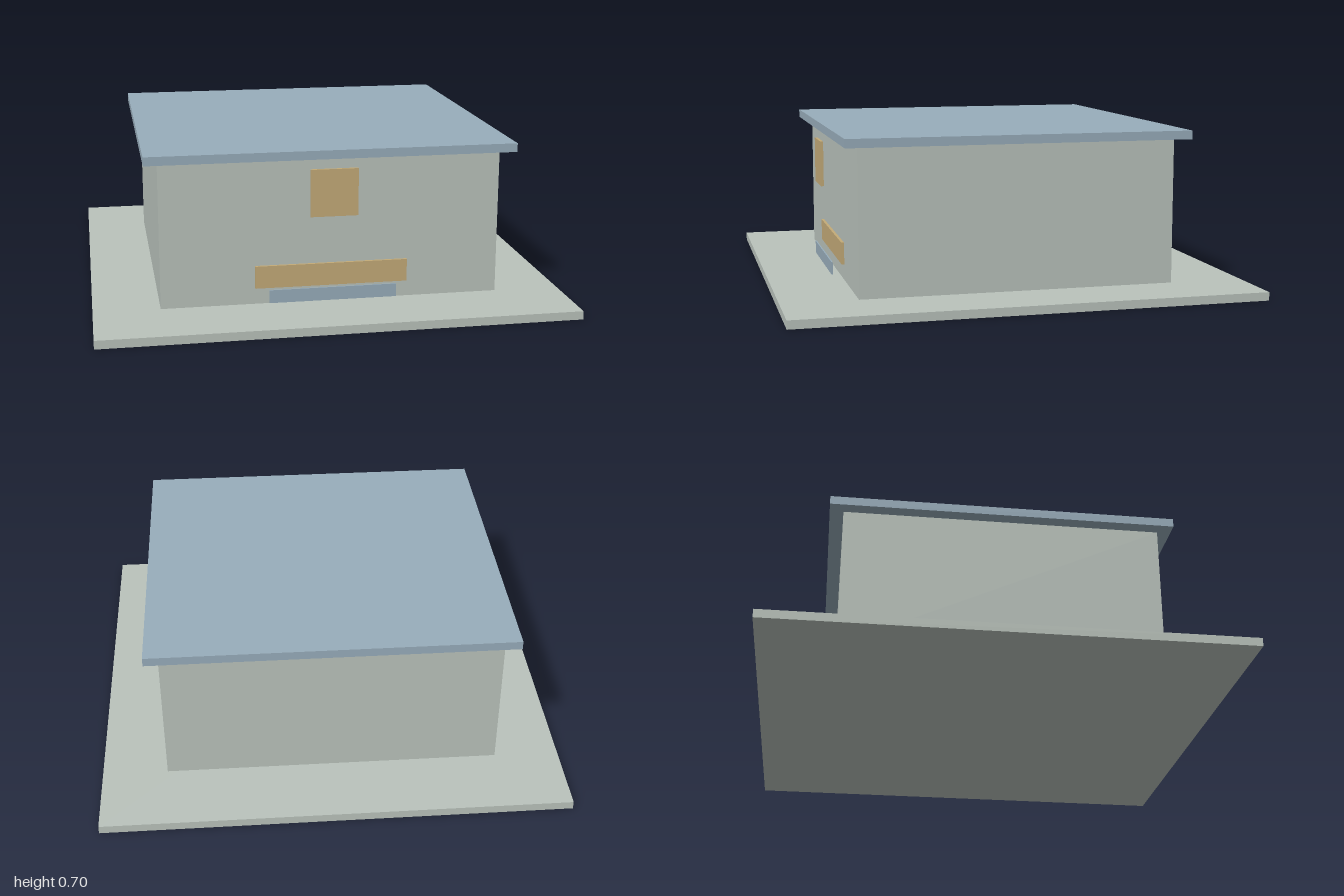
import * as THREE from 'three';

export function createModel() {
  const model = new THREE.Group();
  model.name = 'pavilion';

  const stone = new THREE.MeshStandardMaterial({ color: 0xbac3bc });
  stone.name = 'pale grey stone';
  const slate = new THREE.MeshStandardMaterial({ color: 0x98adbb });
  slate.name = 'slate blue';
  const wood = new THREE.MeshStandardMaterial({ color: 0xc4ab78 });
  wood.name = 'tan wood';

  // Box from its width, depth, bottom and top heights, and centre z
  function block(name, material, width, depth, bottom, top, z = 0) {
    const mesh = new THREE.Mesh(new THREE.BoxGeometry(width, top - bottom, depth), material);
    mesh.name = name;
    mesh.position.set(0, (bottom + top) / 2, z);
    model.add(mesh);
  }

  // Building
  block('groundSlab', stone, 2, 2, 0, 0.036);
  block('walls', stone, 1.44, 1.356, 0.036, 0.66);
  block('roof', slate, 1.556, 1.472, 0.66, 0.697);

  // Front details
  block('hangingSign', wood, 0.2, 0.012, 0.42, 0.62, 0.738);
  block('counterPanel', wood, 0.648, 0.012, 0.106, 0.202, 0.684);
  block('lowerPanel', slate, 0.54, 0.006, 0.052, 0.108, 0.724);

  return model;
}
